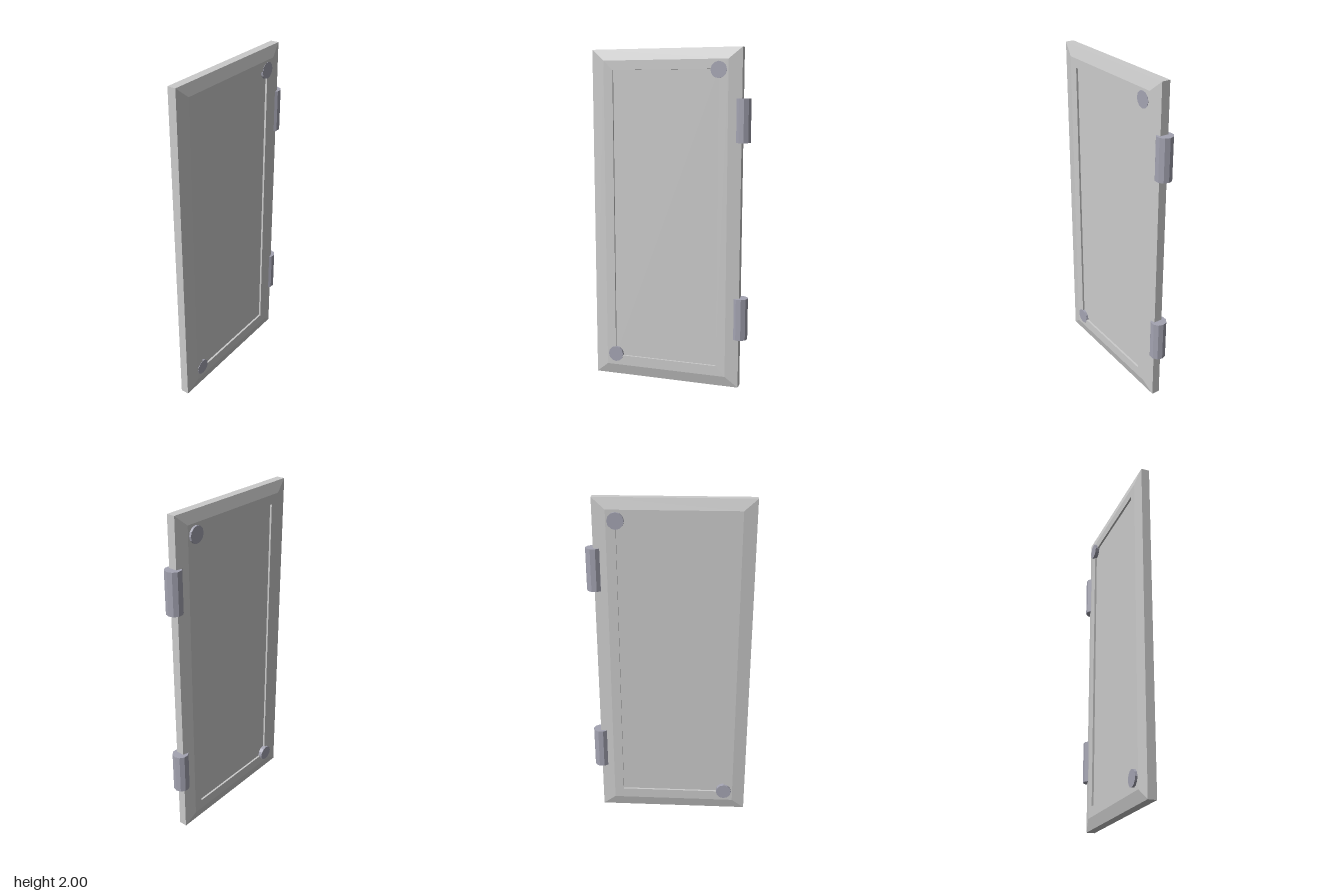
import * as THREE from 'three';

const panelMat = new THREE.MeshStandardMaterial({ color: 0xcccccc, flatShading: true });
const metalMat = new THREE.MeshStandardMaterial({ color: 0xa4a4b2, flatShading: true });

// Door slab: rectangular rings joined from the front recess round to the back recess
function slabGeometry() {
  const outer = [-0.48, 0.43, 0, 2];
  const bevel = [-0.403, 0.353, 0.065, 1.935];
  const inset = [-0.347, 0.297, 0.127, 1.88];
  const rings = [
    [inset, 0.033], [inset, 0.045], [bevel, 0.045], [outer, 0.028],
    [outer, -0.022], [bevel, -0.038], [inset, -0.038], [inset, -0.026],
  ].map(([[x0, x1, y0, y1], z]) => [[x0, y0, z], [x1, y0, z], [x1, y1, z], [x0, y1, z]]);

  const pos = [];
  const quad = (a, b, c, d) => pos.push(...a, ...b, ...c, ...a, ...c, ...d);
  for (let i = 0; i < rings.length - 1; i++) {
    for (let j = 0; j < 4; j++) {
      const k = (j + 1) % 4;
      quad(rings[i][j], rings[i + 1][j], rings[i + 1][k], rings[i][k]);
    }
  }
  quad(...rings[0]);
  quad(...[...rings[rings.length - 1]].reverse());

  const geo = new THREE.BufferGeometry();
  geo.setAttribute('position', new THREE.Float32BufferAttribute(pos, 3));
  geo.computeVertexNormals();
  return geo;
}

export function createModel() {
  const group = new THREE.Group();
  const add = (name, geo, mat, x, y, z) => {
    const mesh = new THREE.Mesh(geo, mat);
    mesh.name = name;
    mesh.position.set(x, y, z);
    group.add(mesh);
  };

  add('doorPanel', slabGeometry(), panelMat, 0, 0, 0);

  // Ten-sided hinge barrels on the left edge, a corner pointing along +x
  const hinge = new THREE.CylinderGeometry(0.048, 0.048, 0.25, 10).rotateY(Math.PI / 2);
  add('upperHinge', hinge, metalMat, 0.43, 1.59, 0);
  add('lowerHinge', hinge, metalMat, 0.43, 0.425, 0);

  // Round studs passing through opposite corners of the inset
  const stud = new THREE.CylinderGeometry(0.048, 0.048, 0.098, 12).rotateX(Math.PI / 2);
  add('upperStud', stud, metalMat, 0.297, 1.875, -0.002);
  add('lowerStud', stud, metalMat, -0.347, 0.134, -0.002);

  return group;
}
